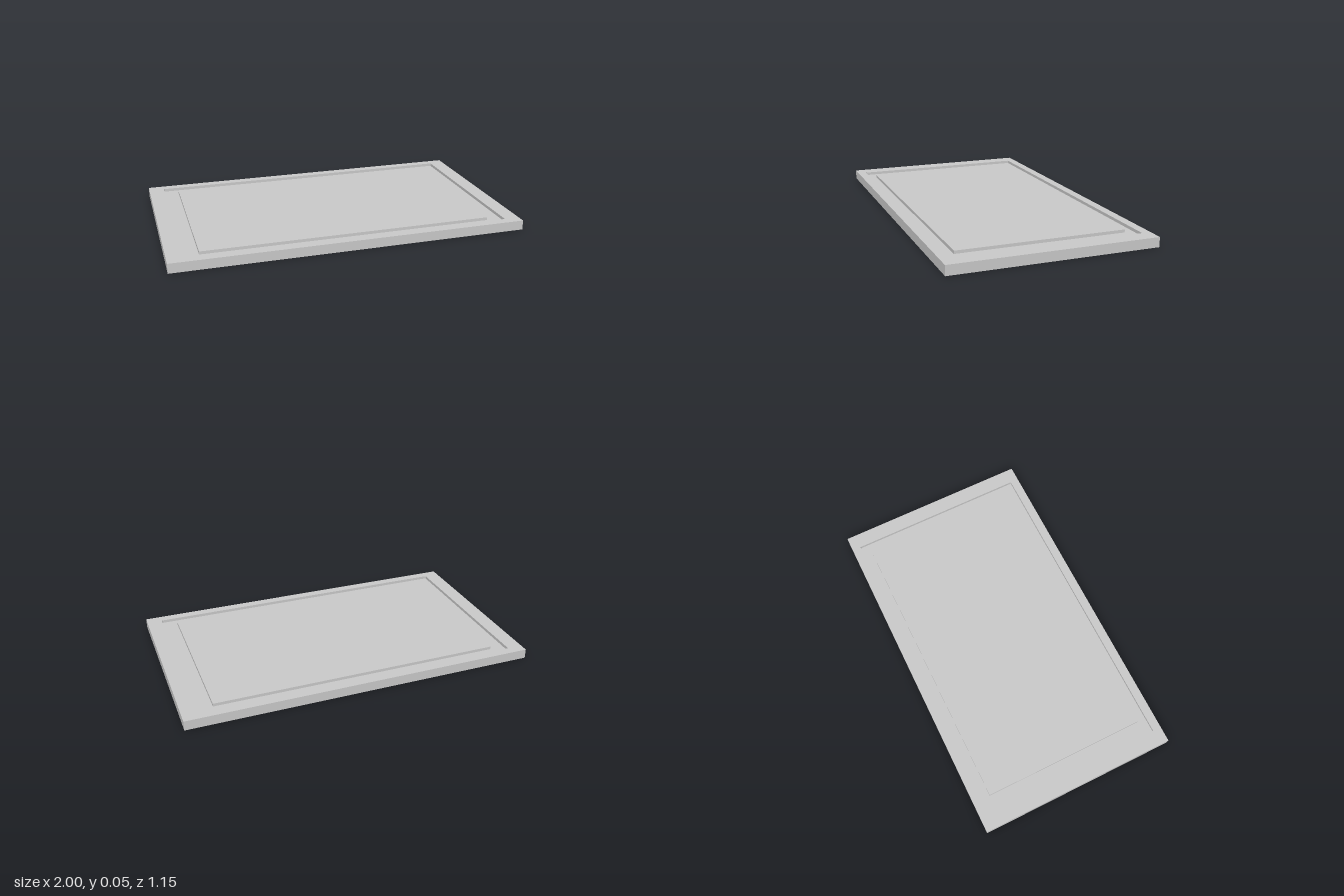
import * as THREE from 'three';

// Rounded rectangle ring at height y: half sizes hx, hz and corner radius r
function ring([hx, hz, y, r]) {
  const points = [];
  const steps = 4;
  for (let corner = 0; corner < 4; corner++) {
    const sx = corner === 0 || corner === 3 ? 1 : -1;
    const sz = corner < 2 ? 1 : -1;
    for (let i = 0; i <= steps; i++) {
      const a = (corner + i / steps) * Math.PI / 2;
      points.push(new THREE.Vector3(
        sx * (hx - r) + r * Math.cos(a), y, sz * (hz - r) + r * Math.sin(a)));
    }
  }
  return points;
}

// Joins successive rings into one faceted skin, leaving out empty triangles
function loft(sections) {
  const rings = sections.map(ring);
  const positions = [];
  const addTriangle = (a, b, c) => {
    if (new THREE.Triangle(a, b, c).getArea() < 1e-9) return;
    for (const p of [a, b, c]) positions.push(p.x, p.y, p.z);
  };
  for (let k = 0; k < rings.length - 1; k++) {
    const low = rings[k], high = rings[k + 1], n = low.length;
    for (let i = 0; i < n; i++) {
      const j = (i + 1) % n;
      addTriangle(low[i], high[i], low[j]);
      addTriangle(low[j], high[i], high[j]);
    }
  }
  const geometry = new THREE.BufferGeometry();
  geometry.setAttribute('position', new THREE.Float32BufferAttribute(positions, 3));
  geometry.computeVertexNormals();
  return geometry;
}

export function createModel() {
  const group = new THREE.Group();
  group.name = 'cuttingBoard';
  const top = 0.055, floor = 0.038;

  // Half width, half depth, height, corner radius: underside, rim, groove, flat top
  const board = new THREE.Mesh(loft([
    [0, 0, 0, 0],
    [1, 0.576, 0, 0],
    [1, 0.576, top, 0],
    [0.912, 0.526, top, 0.008],
    [0.912, 0.526, floor, 0.008],
    [0.826, 0.474, floor, 0],
    [0.826, 0.474, top, 0],
    [0, 0, top, 0],
  ]), new THREE.MeshStandardMaterial({ color: 0xcccccc, flatShading: true }));
  board.name = 'groovedBoard';
  group.add(board);
  return group;
}
